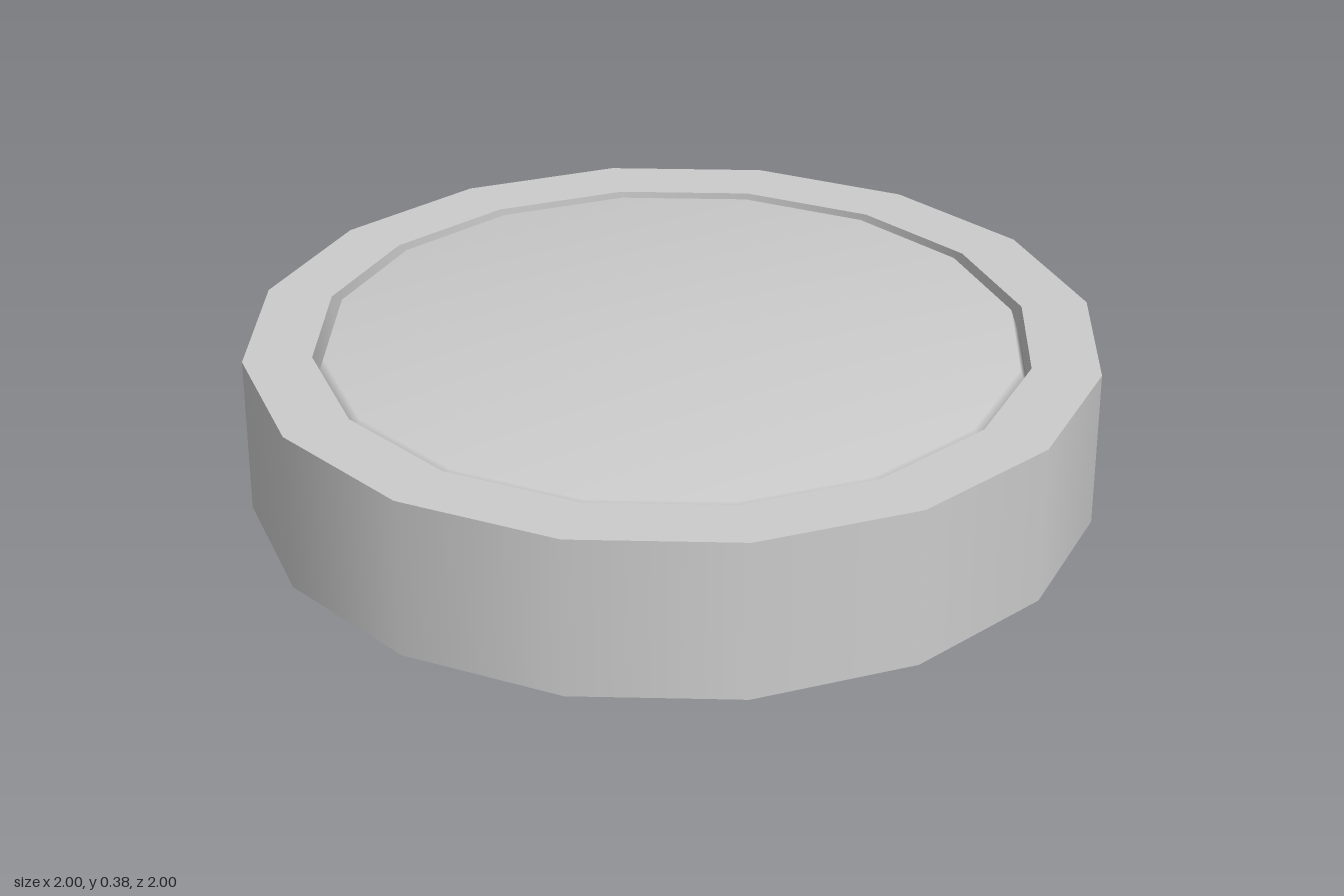
import * as THREE from 'three';
import { mergeGeometries, mergeVertices } from 'three/addons/utils/BufferGeometryUtils.js';

const SIDES = 16;
const HEIGHT = 0.38;
const GROOVE_FLOOR = 0.3;

// One smooth ring of faces between two [radius, height] points
function band([r0, y0], [r1, y1]) {
  return new THREE.LatheGeometry([new THREE.Vector2(r0, y0), new THREE.Vector2(r1, y1)], SIDES);
}

export function createModel() {
  const group = new THREE.Group();
  const material = new THREE.MeshStandardMaterial({ color: 0xcccccc });

  // Outer casing: underside, side wall, flat rim and inner wall, sharp between bands
  const profile = [[0, 0], [1, 0], [1, HEIGHT], [0.84, HEIGHT], [0.84, GROOVE_FLOOR]];
  const bands = profile.slice(1).map((point, i) => band(profile[i], point));
  const casing = new THREE.Mesh(mergeGeometries(bands), material);
  casing.name = 'casing';
  group.add(casing);

  // Slightly domed inset with tapered side, shaded smoothly over its edge
  const edgeY = 0.374;
  let inset = new THREE.CylinderGeometry(0.815, 0.84, edgeY - GROOVE_FLOOR, SIDES);
  inset.translate(0, (edgeY + GROOVE_FLOOR) / 2, 0);
  inset.deleteAttribute('uv');
  inset.deleteAttribute('normal');
  inset = mergeVertices(inset);
  const pos = inset.attributes.position;
  for (let i = 0; i < pos.count; i++) {
    const atCentre = Math.hypot(pos.getX(i), pos.getZ(i)) < 0.01;
    if (atCentre && pos.getY(i) > edgeY - 0.01) pos.setY(i, 0.384);
  }
  inset.computeVertexNormals();
  const insetMesh = new THREE.Mesh(inset, material);
  insetMesh.name = 'domedInset';
  group.add(insetMesh);

  return group;
}
